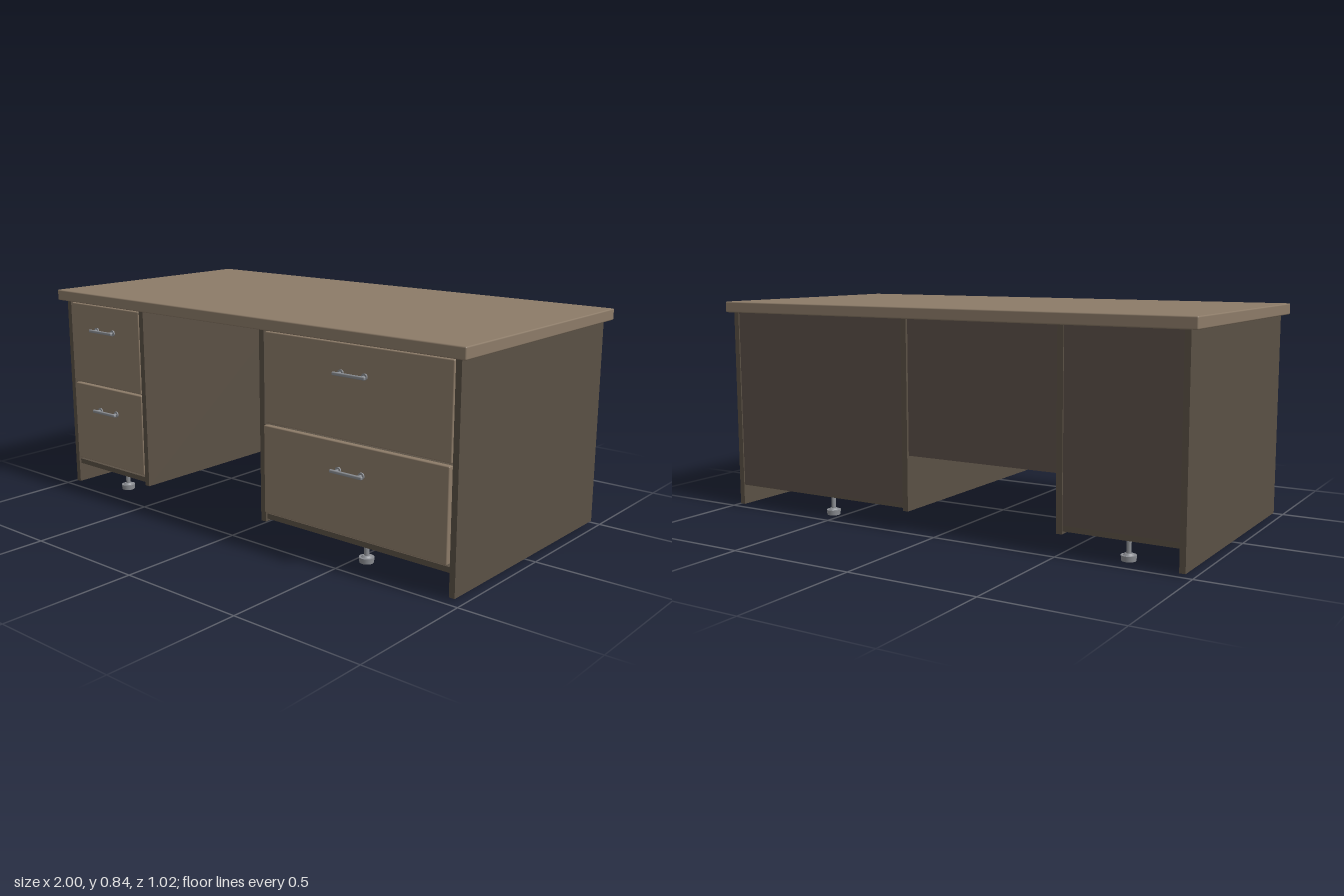
import * as THREE from 'three';
import { RoundedBoxGeometry } from 'three/addons/geometries/RoundedBoxGeometry.js';

const material = (name, color) => {
  const m = new THREE.MeshStandardMaterial({ color });
  m.name = name;
  return m;
};

export function createModel() {
  const wood = material('light wood', 0x8c7b68);
  const panel = material('dark panel', 0x5a5044);
  const backing = material('brown backing', 0x5a4e47);
  const metal = material('grey metal', 0x8b8e93);

  const desk = new THREE.Group();
  desk.name = 'desk';

  function add(parent, name, geometry, mat, x = 0, y = 0, z = 0) {
    const mesh = new THREE.Mesh(geometry, mat);
    mesh.name = name;
    mesh.position.set(x, y, z);
    parent.add(mesh);
    return mesh;
  }

  // Box given by its limits, optionally with softened edges
  function slab(parent, name, mat, [x0, x1], [y0, y1], [z0, z1], radius = 0) {
    const size = [x1 - x0, y1 - y0, z1 - z0];
    const geometry = radius
      ? new RoundedBoxGeometry(...size, 2, radius)
      : new THREE.BoxGeometry(...size);
    return add(parent, name, geometry, mat, (x0 + x1) / 2, (y0 + y1) / 2, (z0 + z1) / 2);
  }

  function cylinder(parent, name, rTop, rBottom, height, x, y, z, sides = 20) {
    return add(parent, name, new THREE.CylinderGeometry(rTop, rBottom, height, sides), metal, x, y, z);
  }

  // Bar handle on two posts, its back at z = 0
  function makeHandle() {
    const handle = new THREE.Group();
    handle.name = 'handle';
    for (const x of [-0.05, 0.05]) {
      cylinder(handle, 'handleRose', 0.012, 0.012, 0.005, x, 0, 0.0025).rotation.x = Math.PI / 2;
      cylinder(handle, 'handlePost', 0.005, 0.005, 0.024, x, 0, 0.013, 12).rotation.x = Math.PI / 2;
    }
    slab(handle, 'handleBar', metal, [-0.07, 0.07], [-0.006, 0.006], [0.018, 0.029], 0.004);
    return handle;
  }

  // Levelling foot: round pad, collar and threaded stem
  function makeFoot() {
    const foot = new THREE.Group();
    foot.name = 'foot';
    cylinder(foot, 'footPad', 0.028, 0.026, 0.02, 0, 0.01, 0);
    cylinder(foot, 'footCollar', 0.014, 0.02, 0.006, 0, 0.023, 0);
    cylinder(foot, 'footStem', 0.009, 0.009, 0.07, 0, 0.06, 0, 16);
    return foot;
  }

  // Pedestal between an outer and an inner side panel
  function makePedestal(name, outer, inner, openings) {
    const pedestal = new THREE.Group();
    pedestal.name = name;
    const depth = [-0.49, 0.47];
    slab(pedestal, 'outerSide', panel, outer, [0.01, 0.797], depth);
    slab(pedestal, 'innerSide', panel, inner, [0.08, 0.797], depth);

    const x0 = Math.min(outer[1], inner[1]);
    const x1 = Math.max(outer[0], inner[0]);
    const cx = (x0 + x1) / 2;
    slab(pedestal, 'bottomPanel', panel, [x0, x1], [0.09, 0.11], [-0.485, 0.462]);
    slab(pedestal, 'backPanel', backing, [x0, x1], [0.09, 0.797], [-0.485, -0.467]);

    // Lower and upper drawers, each drawn out by its opening
    [[0.12, 0.45], [0.457, 0.789]].forEach((y, i) => {
      const drawer = new THREE.Group();
      drawer.name = i ? 'upperDrawer' : 'lowerDrawer';
      drawer.position.z = openings[i];
      slab(drawer, 'drawerFront', wood, [x0 + 0.005, x1 - 0.005], y, [0.448, 0.47], 0.004);
      slab(drawer, 'drawerBox', panel, [x0 + 0.015, x1 - 0.015], [y[0] + 0.01, y[1] - 0.03], [-0.44, 0.449]);
      const handle = makeHandle();
      handle.position.set(cx, i ? 0.687 : 0.35, 0.47);
      drawer.add(handle);
      pedestal.add(drawer);
    });

    for (const z of [0.383, -0.407]) {
      const foot = makeFoot();
      foot.position.set(cx, 0, z);
      pedestal.add(foot);
    }
    desk.add(pedestal);
  }

  // Worktop
  slab(desk, 'worktop', wood, [-1, 1], [0.797, 0.84], [-0.507, 0.498], 0.005);

  makePedestal('narrowPedestal', [-0.972, -0.95], [-0.523, -0.5], [0, 0]);
  makePedestal('widePedestal', [0.947, 0.969], [0.122, 0.145], [0.011, 0]);

  // Modesty panel across the knee space, with a rail under the worktop
  slab(desk, 'modestyPanel', backing, [-0.5, 0.122], [0.29, 0.797], [-0.48, -0.462]);
  slab(desk, 'topRail', backing, [-0.5, 0.122], [0.77, 0.797], [-0.462, -0.444]);

  return desk;
}
